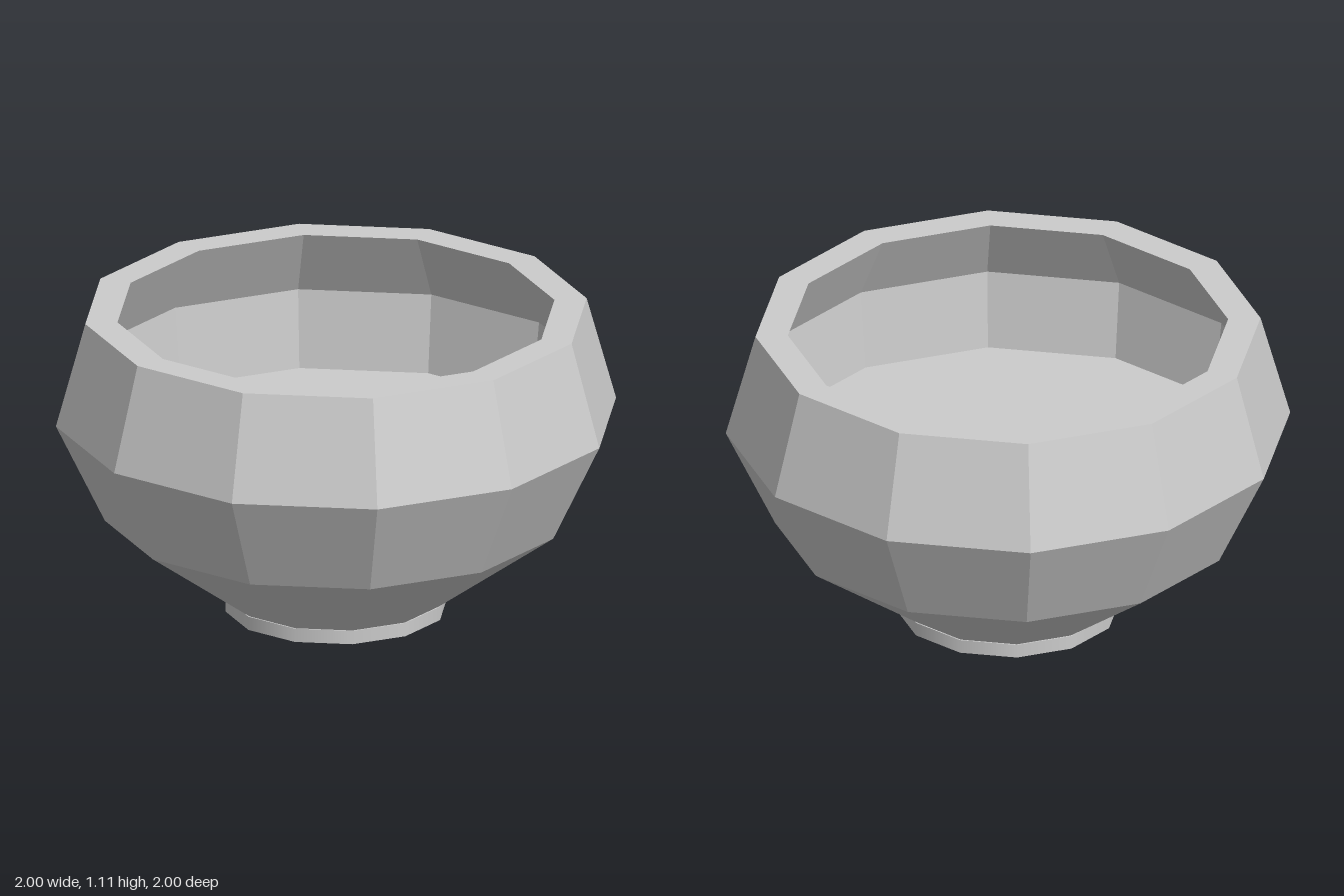
import * as THREE from 'three';

const SIDES = 12;

export function createModel() {
  const group = new THREE.Group();
  group.name = 'bowl';
  const faceted = new THREE.MeshStandardMaterial({ color: 0xcccccc, flatShading: true });
  const smooth = new THREE.MeshStandardMaterial({ color: 0xcccccc });

  const add = (name, geometry, material, y = 0) => {
    const mesh = new THREE.Mesh(geometry, material);
    mesh.name = name;
    mesh.position.y = y;
    group.add(mesh);
  };

  // Faceted shell: outer wall upwards, over the flat rim, inner wall down to the filling
  const profile = [
    [0.39, 0.05], [0.825, 0.365], [1, 0.73], [0.895, 1.11],
    [0.78, 1.11], [0.915, 0.856], [0.885, 0.57],
  ].map(([r, y]) => new THREE.Vector2(r, y));
  add('shell', new THREE.LatheGeometry(profile, SIDES), faceted);

  // Level surface inside the bowl, its corners lined up with the shell
  const surface = new THREE.CircleGeometry(0.885, SIDES).rotateX(-Math.PI / 2);
  add('innerSurface', surface, faceted, 0.57);

  // Low foot ring with a closed base
  add('foot', new THREE.CylinderGeometry(0.395, 0.395, 0.05, SIDES), smooth, 0.025);

  return group;
}
